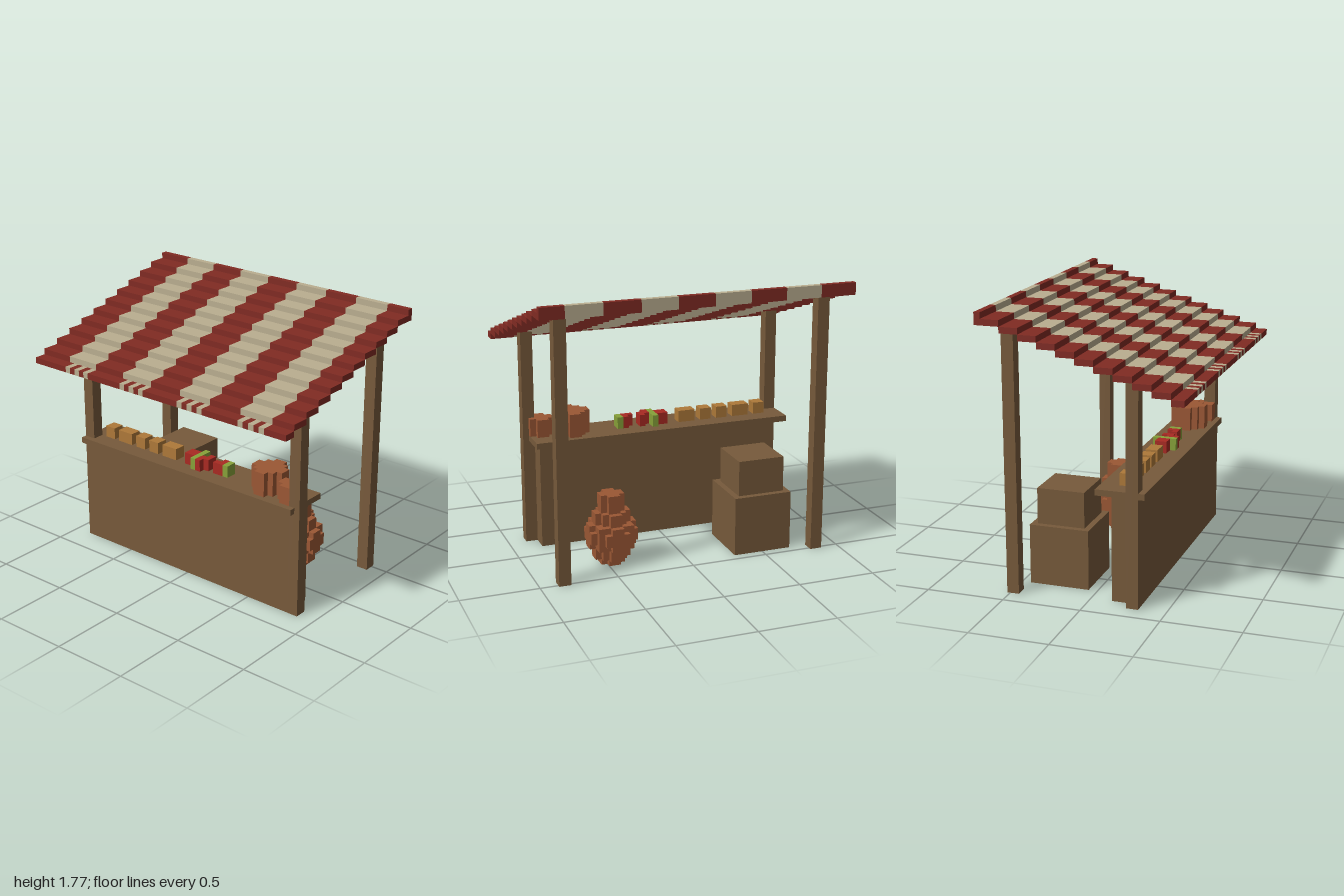
import * as THREE from 'three';

const V = 1 / 26; // size of one building cube

const mat = (name, color) => {
  const m = new THREE.MeshStandardMaterial({ color });
  m.name = name;
  return m;
};

export function createModel() {
  const root = new THREE.Group();
  root.name = 'marketStall';
  const wood = mat('wood', 0x775a3b);
  const red = mat('awningRed', 0x812b23);
  const cream = mat('awningCream', 0xbaae90);
  const clay = mat('clay', 0x9b5734);
  const amber = mat('bread', 0xae7939);
  const fruitRed = mat('fruitRed', 0xa92a22);
  const green = mat('fruitGreen', 0x87a139);

  const group = (name) => {
    const g = new THREE.Group();
    g.name = name;
    root.add(g);
    return g;
  };

  // Box between two corners, given in cubes
  const box = (parent, name, m, x0, x1, y0, y1, z0, z1) => {
    const geo = new THREE.BoxGeometry((x1 - x0) * V, (y1 - y0) * V, (z1 - z0) * V);
    const mesh = new THREE.Mesh(geo, m);
    mesh.name = name;
    mesh.position.set((x0 + x1) / 2 * V, (y0 + y1) / 2 * V, (z0 + z1) / 2 * V);
    parent.add(mesh);
  };

  // Stepped round layer: an extruded outline from quarter-corner [halfX, halfZ] steps
  const roundLayer = (parent, name, m, cx, cz, y0, y1, steps) => {
    const quarter = [];
    steps.forEach(([x, z], i) => {
      if (i) quarter.push([x, steps[i - 1][1]]);
      quarter.push([x, z]);
    });
    const back = [...quarter].reverse();
    const outline = [
      ...quarter,
      ...back.map(([x, z]) => [-x, z]),
      ...quarter.map(([x, z]) => [-x, -z]),
      ...back.map(([x, z]) => [x, -z]),
    ].map(([x, z]) => new THREE.Vector2(x * V, z * V));
    const geo = new THREE.ExtrudeGeometry(new THREE.Shape(outline), { depth: (y1 - y0) * V, bevelEnabled: false });
    geo.rotateX(-Math.PI / 2);
    const mesh = new THREE.Mesh(geo, m);
    mesh.name = name;
    mesh.position.set(cx * V, y0 * V, cz * V);
    parent.add(mesh);
  };
  const D4 = [[2, 1], [1, 2]];
  const D6 = [[3, 1], [2, 2], [1, 3]];
  const D8 = [[4, 2], [3, 3], [2, 4]];
  const D8narrow = [[4, 1], [3, 3], [1, 4]];

  // Striped awning climbing in steps toward the back
  const awning = group('awning');
  for (let k = 0; k < 12; k++) {
    const zFront = k === 0 ? 16.5 : k === 11 ? -15.5 : 17.5 - 3 * k;
    const zBack = k >= 10 ? -16.5 : 14.5 - 3 * k;
    for (let i = 0; i < 9; i++) {
      const x0 = -26 + 6 * i;
      const x1 = Math.min(x0 + 6, 26);
      if (k === 0 && i % 2) {
        // Fringe of alternating cubes on the front edge
        for (let j = 0; j < 6; j++) {
          box(awning, 'fringe', j % 2 ? cream : red, x0 + j, x0 + j + 1, 34, 35, zBack, zFront);
        }
      } else {
        box(awning, 'awningStripe', i % 2 ? cream : red, x0, x1, 34 + k, 35 + k, zBack, zFront);
      }
    }
  }

  // Four posts
  const posts = group('posts');
  for (const x of [-23, 21]) {
    box(posts, 'frontPost', wood, x, x + 2, 0, 37, 6.5, 8.5);
    box(posts, 'backPost', wood, x, x + 2, 0, 43, -13.5, -11.5);
    box(posts, 'backPostTop', wood, x, x + 2, 43, 44, -13.5, -12.5);
  }

  // Counter
  const counter = group('counter');
  box(counter, 'counterBody', wood, -21, 21, 0, 18, 3.5, 8.5);
  box(counter, 'counterTop', wood, -23, 22, 18, 19, 1.5, 9.5);

  // Loaves
  const loaves = group('loaves');
  for (const [a, b] of [[-20, -18], [-17, -14], [-13, -11], [-10, -8], [-7, -4]]) {
    box(loaves, 'loaf', amber, a, b, 19, 21, 4.5, 6.5);
  }

  // Fruit: x range, z range, colour
  const fruit = group('fruit');
  for (const [x0, x1, z0, z1, m] of [
    [-2, 0, 4.5, 6.5, fruitRed], [0, 1, 3.5, 7.5, green],
    [1, 2, 5.5, 7.5, fruitRed], [2, 3, 4.5, 6.5, fruitRed],
    [4, 5, 5.5, 6.5, fruitRed], [5, 6, 4.5, 6.5, fruitRed],
    [6, 7, 4.5, 6.5, green],
  ]) box(fruit, 'fruitPiece', m, x0, x1, 19, 21, z0, z1);

  // Clay pots on the counter
  const pots = group('counterPots');
  roundLayer(pots, 'largePot', clay, 15, 5.5, 19, 23, D6);
  roundLayer(pots, 'smallPot', clay, 20, 6.5, 19, 22, D4);

  // Bulging jar on the ground
  const jar = group('jar');
  for (const [y0, y1, steps] of [
    [0, 1, D4], [1, 3, D6], [3, 4, D8narrow], [4, 6, D8], [6, 7, D8narrow], [7, 9, D6], [9, 12, D4],
  ]) roundLayer(jar, 'jarLayer', clay, 12, -6.5, y0, y1, steps);

  // Stacked crates
  const crates = group('crates');
  box(crates, 'lowerCrate', wood, -18, -8, 0, 10, -11.5, -1.5);
  box(crates, 'upperCrate', wood, -17, -9, 10, 16, -10.5, -2.5);

  return root;
}
